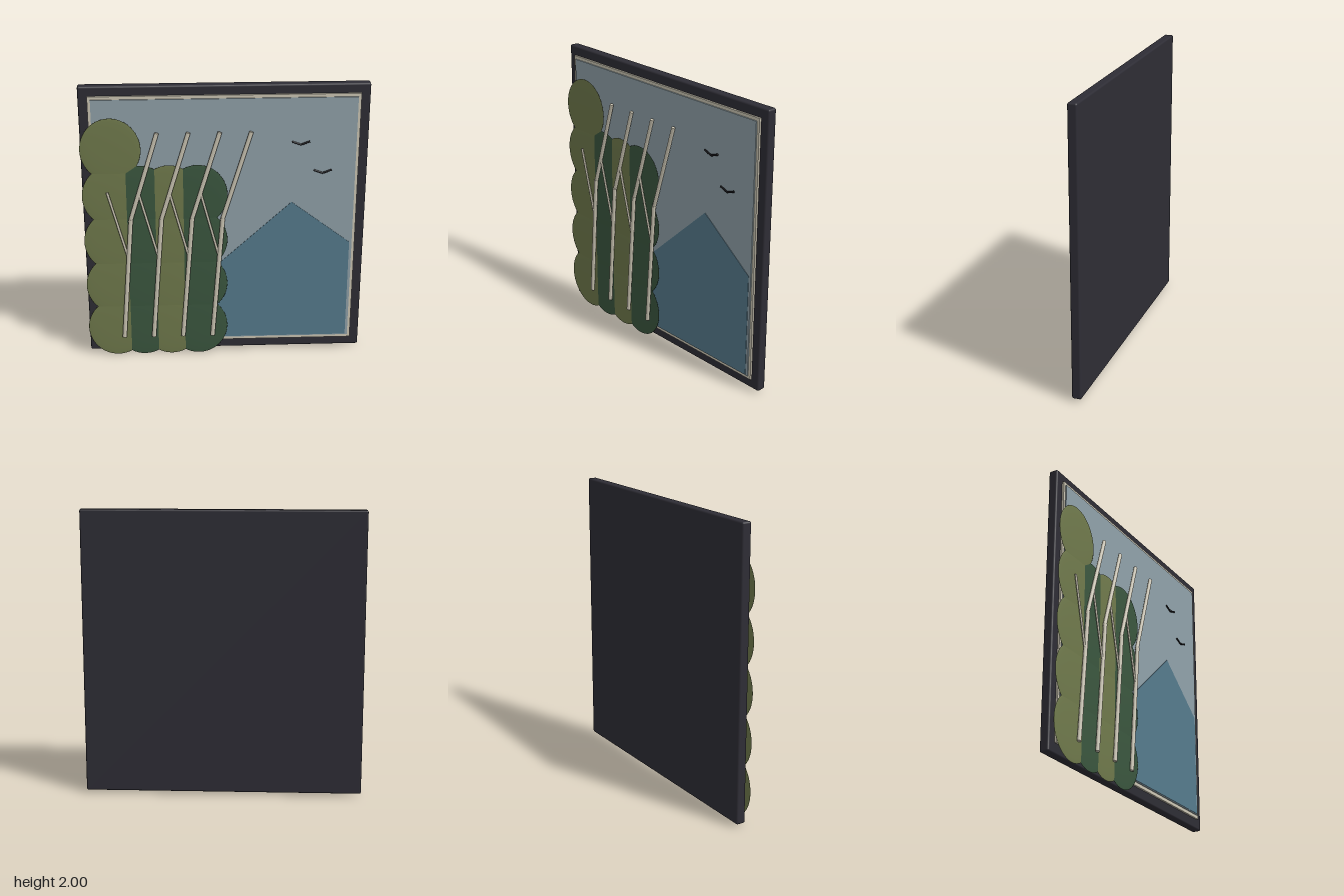
import * as THREE from 'three';
import { RoundedBoxGeometry } from 'three/addons/geometries/RoundedBoxGeometry.js';

const mat = (name, color) => Object.assign(new THREE.MeshStandardMaterial({ color }), { name });

export function createModel() {
  const charcoal = mat('charcoal', 0x2e2d35);
  const cream = mat('cream', 0xcdc7b5);
  const sky = mat('sky', 0x91a2aa);
  const blue = mat('mountainBlue', 0x567b8d);
  const olive = mat('olive', 0x707a4c);
  const green = mat('green', 0x3b573f);
  const black = mat('black', 0x18181c);

  const root = new THREE.Group();
  const add = (name, geometry, material, parent = root) => {
    const mesh = new THREE.Mesh(geometry, material);
    mesh.name = name;
    parent.add(mesh);
    return mesh;
  };
  const group = (name) => {
    const g = new THREE.Group();
    g.name = name;
    root.add(g);
    return g;
  };

  // Rod between two points, slightly flattened in depth
  const rod = (name, a, b, radius, material, parent, z, sides = 10) => {
    const dx = b[0] - a[0], dy = b[1] - a[1];
    const mesh = add(name, new THREE.CylinderGeometry(radius, radius, Math.hypot(dx, dy), sides), material, parent);
    mesh.position.set((a[0] + b[0]) / 2, (a[1] + b[1]) / 2, z);
    mesh.rotation.z = Math.atan2(-dx, dy);
    mesh.scale.z = 0.8;
  };

  // Backing board
  add('backingBoard', new RoundedBoxGeometry(1.93, 1.98, 0.065, 2, 0.012), charcoal)
    .position.set(0, 1.01, -0.0325);

  // Cream border with the sky panel lying on it
  add('border', new THREE.BoxGeometry(1.805, 1.845, 0.014), cream).position.set(0, 1.0125, 0.007);
  add('skyPanel', new THREE.BoxGeometry(1.765, 1.8, 0.01), sky).position.set(0, 1.0135, 0.017);

  // Mountain silhouette
  const outline = [[-0.865, 0.12], [0.865, 0.12], [0.865, 0.855], [0.455, 1.167], [-0.03, 0.72], [-0.35, 0.5], [-0.865, 0.85]];
  const shape = new THREE.Shape(outline.map(([x, y]) => new THREE.Vector2(x, y)));
  add('mountain', new THREE.ExtrudeGeometry(shape, { depth: 0.004, bevelEnabled: false }), blue)
    .position.z = 0.021;

  // Foliage: columns of flattened overlapping ellipsoids
  const foliage = group('foliage');
  const leafGeometry = new THREE.SphereGeometry(1, 40, 24);
  [-0.765, -0.572, -0.379, -0.186].forEach((x, col) => {
    for (let row = 0; row < (col === 0 ? 5 : 4); row++) {
      const leaf = add('leafCluster', leafGeometry, col % 2 ? green : olive, foliage);
      leaf.position.set(x, 0.222 + row * 0.337, 0.035);
      leaf.scale.set(0.203, 0.222, 0.006);
    }
  });

  // Bent trunks, each with one thin branch
  const trees = group('trees');
  for (let i = 0; i < 4; i++) {
    const s = i * 0.209;
    rod('lowerTrunk', [-0.717 + s, 0.15], [-0.643 + s, 1.07], 0.016, cream, trees, 0.053);
    rod('upperTrunk', [-0.648 + s, 1.05], [-0.453 + s, 1.69], 0.015, cream, trees, 0.05);
    rod('branch', [-0.675 + s, 0.8], [-0.796 + s, 1.27], 0.009, cream, trees, 0.053, 8);
  }

  // Birds with two wings
  const birds = group('birds');
  for (const [x, y] of [[0.508, 1.587], [0.66, 1.38]])
    for (const side of [-1, 1])
      rod('birdWing', [x, y], [x + side * 0.06, y + 0.022], 0.007, black, birds, 0.03, 8);

  return root;
}
